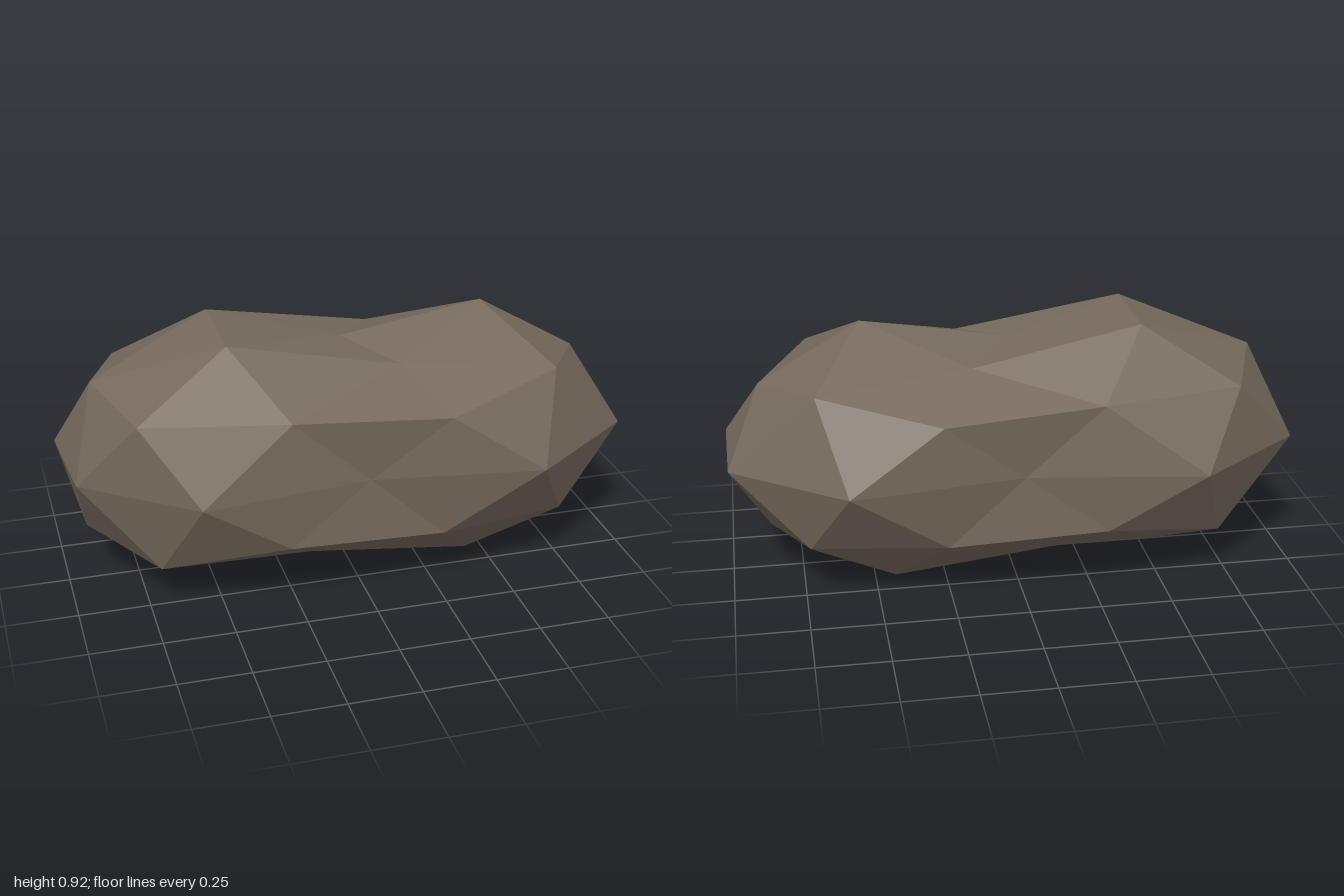
import * as THREE from 'three';

// Small irregularities: a direction on the unit sphere and a radial factor there
const BUMPS = [
  [0.951, 0, 0.309, 1.04], [0.951, 0, -0.309, 1.035],
  [-0.951, 0, -0.309, 1.015], [-0.951, 0, 0.309, 0.985],
  [0.894, 0.447, 0, 0.97], [0.526, 0.851, 0, 0.977],
  [-0.724, 0.447, 0.526, 1.035], [-0.724, 0.447, -0.526, 1.015],
  [0.588, 0, 0.809, 1.01], [0.588, 0, -0.809, 1.015],
  [-0.588, 0, 0.809, 0.975], [-0.588, 0, -0.809, 1.01],
  [0.163, 0.851, 0.5, 0.95], [0.163, 0.851, -0.5, 0.95],
];

function bumpAt(p) {
  const bump = BUMPS.find(([x, y, z]) => Math.hypot(p.x - x, p.y - y, p.z - z) < 0.05);
  return bump ? bump[3] : 1;
}

export function createModel() {
  const stone = new THREE.MeshStandardMaterial({ color: 0x75695c, flatShading: true });
  stone.name = 'brown grey stone';

  // Faceted ball with a vertex at each pole
  const geometry = new THREE.IcosahedronGeometry(1, 1);
  geometry.rotateZ(-Math.atan(1 / ((1 + Math.sqrt(5)) / 2)));

  // Squeeze the ball into a long body with a narrow waist
  const pos = geometry.attributes.position;
  const p = new THREE.Vector3();
  for (let i = 0; i < pos.count; i++) {
    p.fromBufferAttribute(pos, i);
    const bump = bumpAt(p);
    const girth = 0.37 + 0.19 * (1 - Math.exp(-((p.x / 0.33) ** 2)));
    pos.setXYZ(
      i,
      p.x * (p.x < 0 ? 1.035 : 1.01) * bump,
      0.465 + p.y * girth * bump,
      p.z * girth * 1.1 * bump
    );
  }
  geometry.computeVertexNormals();

  const rock = new THREE.Mesh(geometry, stone);
  rock.name = 'rock';
  const group = new THREE.Group();
  group.name = 'asteroid';
  group.add(rock);
  return group;
}
